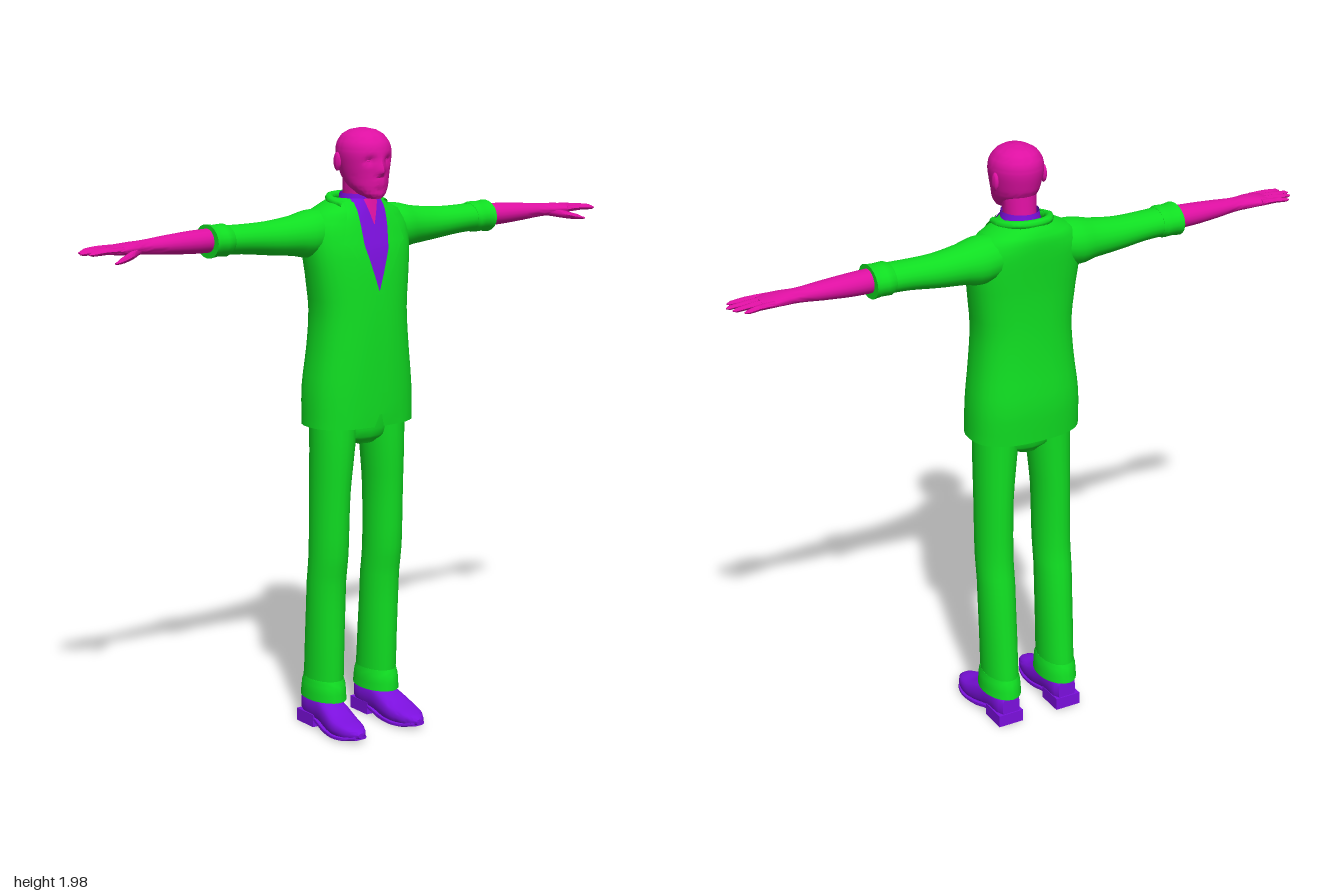
import * as THREE from 'three';
import { toCreasedNormals } from 'three/addons/utils/BufferGeometryUtils.js';

const paint = (name, color) => {
  const m = new THREE.MeshStandardMaterial({ color, side: THREE.DoubleSide });
  m.name = name;
  return m;
};

// Smoothly interpolated cross-section at position a along a loft.
// Section: [a, centreU, centreV, radiusU, radiusV, roundness exponent]
function sectionAt(secs, a) {
  let i = 0;
  while (i < secs.length - 2 && a > secs[i + 1][0]) i++;
  const p1 = secs[i], p2 = secs[i + 1];
  const p0 = secs[Math.max(i - 1, 0)], p3 = secs[Math.min(i + 2, secs.length - 1)];
  const t = THREE.MathUtils.clamp((a - p1[0]) / (p2[0] - p1[0]), 0, 1);
  return [1, 2, 3, 4, 5].map((k) => {
    const [w, x, y, z] = [p0, p1, p2, p3].map((p) => p[k] ?? 1);
    return x + 0.5 * t * (y - w + t * (2 * w - 5 * x + 4 * y - z + t * (3 * (x - y) + z - w)));
  });
}

// Closed loft along an axis; (axis, u, v) run in cyclic order.
function loft(axis, secs, { seg = 20, steps = 3, caps = true, rule } = {}) {
  const A = 'xyz'.indexOf(axis), U = (A + 1) % 3, V = (A + 2) % 3;
  const stations = [secs[0][0]];
  for (let i = 1; i < secs.length; i++) {
    for (let s = 1; s <= steps; s++) {
      stations.push(THREE.MathUtils.lerp(secs[i - 1][0], secs[i][0], s / steps));
    }
  }
  const pos = [], idx = [];
  const power = (v, e) => Math.sign(v) * Math.abs(v) ** e;
  stations.forEach((a, row) => {
    const [cu, cv, ru, rv, e] = sectionAt(secs, a);
    for (let k = 0; k < seg; k++) {
      const t = (k / seg) * Math.PI * 2, p = [0, 0, 0];
      p[A] = a;
      p[U] = cu + ru * power(Math.cos(t), e);
      p[V] = cv + rv * power(Math.sin(t), e);
      if (rule) rule(p, row, k);
      pos.push(...p);
      if (row) {
        const n = (k + 1) % seg, lo = (row - 1) * seg, hi = row * seg;
        idx.push(lo + k, lo + n, hi + n, lo + k, hi + n, hi + k);
      }
    }
  });
  if (caps) {
    for (const end of [0, stations.length - 1]) {
      const [cu, cv] = sectionAt(secs, stations[end]), p = [0, 0, 0], c = pos.length / 3;
      p[A] = stations[end]; p[U] = cu; p[V] = cv;
      pos.push(...p);
      for (let k = 0; k < seg; k++) {
        const i = end * seg + k, j = end * seg + (k + 1) % seg;
        idx.push(...(end ? [c, i, j] : [c, j, i]));
      }
    }
  }
  return indexed(pos, idx);
}

function indexed(pos, idx) {
  const g = new THREE.BufferGeometry();
  g.setAttribute('position', new THREE.Float32BufferAttribute(pos, 3));
  g.setIndex(idx);
  return g;
}

function mirrored(geo) {
  const g = geo.clone().scale(-1, 1, 1);
  g.setIndex(Array.from(geo.index.array).reverse());
  return g;
}

// Jacket body: [y, z, x, rz, rx, exponent]
const body = [
  [1.03, -0.025, 0, 0.125, 0.19, 0.8], [1.15, -0.027, 0, 0.128, 0.187, 0.8],
  [1.28, -0.022, 0, 0.122, 0.172, 0.8], [1.4, -0.021, 0, 0.117, 0.165, 0.8],
  [1.52, -0.025, 0, 0.113, 0.178, 0.8], [1.6, -0.032, 0, 0.11, 0.187, 0.8],
  [1.67, -0.042, 0, 0.104, 0.187, 0.85], [1.715, -0.047, 0, 0.098, 0.16, 0.95],
  [1.74, -0.045, 0, 0.09, 0.11, 1], [1.76, -0.04, 0, 0.08, 0.072, 1]];

function chestZ(x, y) {
  const [cz, , rz, rx, e] = sectionAt(body, y);
  const s = Math.min(Math.abs(x) / rx, 1) ** (1 / e);
  return cz + rz * Math.max(0, 1 - s * s) ** (e / 2);
}

// Thin panel lying on the chest; rows are [y, inner x, outer x] from top to bottom.
function panel(rows, lift) {
  const pos = [], idx = [], n = 6, steps = 5, last = (rows.length - 1) * steps;
  for (let r = 0; r <= last; r++) {
    const i = Math.min(Math.floor(r / steps), rows.length - 2), t = r / steps - i;
    const [y, a, b] = rows[i].map((v, k) => THREE.MathUtils.lerp(v, rows[i + 1][k], t));
    for (let k = 0; k <= n; k++) {
      const x = THREE.MathUtils.lerp(a, b, k / n);
      pos.push(x, y, chestZ(x, y) + lift);
      if (r && k) {
        const d = r * (n + 1) + k, u = d - n - 1;
        idx.push(u - 1, d - 1, d, u - 1, d, u);
      }
    }
  }
  return indexed(pos, idx);
}

export function createModel() {
  const model = new THREE.Group();
  model.name = 'suitedMan';
  const cloth = paint('green cloth', 0x10de22);
  const skin = paint('magenta skin', 0xde10a2);
  const violet = paint('violet shirt and shoes', 0x7c10de);
  const add = (name, geo, mat) => {
    const mesh = new THREE.Mesh(toCreasedNormals(geo, 0.8), mat);
    mesh.name = name;
    model.add(mesh);
  };
  const pair = (name, geo, mat) => {
    add(name + 'Left', geo, mat);
    add(name + 'Right', mirrored(geo), mat);
  };
  const ball = (x, y, z, rx, ry, rz) =>
    new THREE.SphereGeometry(1, 14, 10).scale(rx, ry, rz).translate(x, y, z);

  // Jacket, with a small opening at the front of the hem
  add('jacketBody', loft('y', body, {
    seg: 32, caps: false,
    rule: (p, row, k) => {
      if (row === 0 && k === 0) p[1] += 0.09;
      if (row === 0 && (k === 1 || k === 31)) p[0] = Math.sign(p[0]) * 0.018;
    },
  }), cloth);
  add('jacketFrontEdge', panel([[1.47, -0.012, 0.03], [1.3, -0.02, 0.03], [1.14, -0.004, 0.03]], 0.004), cloth);
  pair('lapel', panel([[1.75, 0.055, 0.078], [1.625, 0.048, 0.118], [1.612, 0.046, 0.098], [1.46, 0, 0.012]], 0.011), cloth);
  add('jacketCollar', new THREE.TubeGeometry(new THREE.CatmullRomCurve3([
    [0.078, 1.738, 0.015], [0.083, 1.75, -0.05], [0.05, 1.757, -0.1], [0, 1.758, -0.113],
    [-0.05, 1.757, -0.1], [-0.083, 1.75, -0.05], [-0.078, 1.738, 0.015],
  ].map((p) => new THREE.Vector3(...p))), 30, 0.014, 8), cloth);
  pair('sleeve', loft('x', [
    [0.09, 1.66, -0.055, 0.068, 0.07], [0.17, 1.65, -0.053, 0.076, 0.08],
    [0.23, 1.648, -0.054, 0.064, 0.068], [0.32, 1.647, -0.057, 0.054, 0.058],
    [0.42, 1.652, -0.055, 0.047, 0.056], [0.51, 1.655, -0.055, 0.046, 0.058]]), cloth);
  pair('rolledCuff', loft('x', [
    [0.475, 1.655, -0.055, 0.046, 0.058], [0.487, 1.655, -0.055, 0.051, 0.064],
    [0.52, 1.655, -0.055, 0.049, 0.064], [0.545, 1.655, -0.055, 0.053, 0.067]], { steps: 2 }), cloth);

  // Shirt and open neck
  pair('shirtFront', panel([[1.76, 0, 0.056], [1.7, 0, 0.058], [1.6, 0, 0.046], [1.47, 0, 0.002]], 0.006), violet);
  add('shirtCollar', loft('y', [
    [1.71, -0.018, 0, 0.068, 0.072], [1.775, -0.016, 0, 0.062, 0.06]], { caps: false }), violet);
  pair('openNeck', panel([[1.76, 0, 0.026], [1.68, 0, 0.001]], 0.012), skin);

  // Trousers
  add('trouserSeat', loft('y', [
    [0.965, -0.025, 0, 0.06, 0.05], [0.99, -0.025, 0, 0.078, 0.12],
    [1.06, -0.025, 0, 0.085, 0.165], [1.2, -0.025, 0, 0.09, 0.155]]), cloth);
  pair('trouserLeg', loft('y', [
    [0.12, -0.068, 0.107, 0.084, 0.057], [0.2, -0.064, 0.107, 0.083, 0.057],
    [0.5, -0.047, 0.108, 0.074, 0.06], [0.6, -0.034, 0.108, 0.076, 0.06],
    [0.8, -0.029, 0.106, 0.08, 0.061], [0.95, -0.025, 0.099, 0.084, 0.069],
    [1.08, -0.025, 0.092, 0.085, 0.078]]), cloth);
  pair('trouserCuff', loft('y', [
    [0.1, -0.067, 0.107, 0.098, 0.063], [0.15, -0.065, 0.107, 0.092, 0.061],
    [0.17, -0.065, 0.107, 0.084, 0.057]], { steps: 2 }), cloth);

  // Shoes: [z, x, y, rx, ry, exponent]
  pair('shoe', loft('z', [
    [-0.15, 0.108, 0.065, 0.032, 0.04, 0.7], [-0.125, 0.108, 0.068, 0.044, 0.048, 0.7],
    [-0.04, 0.11, 0.065, 0.046, 0.048, 0.7], [0.02, 0.114, 0.047, 0.052, 0.042, 0.7],
    [0.07, 0.118, 0.034, 0.053, 0.032, 0.7], [0.12, 0.119, 0.03, 0.043, 0.024, 0.7],
    [0.152, 0.118, 0.028, 0.026, 0.016, 0.7], [0.165, 0.118, 0.027, 0.012, 0.008, 0.7]]), violet);
  pair('shoeSole', loft('z', [
    [-0.06, 0.11, 0.026, 0.044, 0.008, 0.5], [0.0, 0.114, 0.012, 0.05, 0.01, 0.5],
    [0.07, 0.118, 0.008, 0.056, 0.008, 0.5], [0.12, 0.119, 0.011, 0.046, 0.008, 0.5],
    [0.158, 0.118, 0.018, 0.024, 0.007, 0.5]]), violet);
  pair('shoeHeel', new THREE.BoxGeometry(0.09, 0.042, 0.095).translate(0.11, 0.021, -0.107), violet);

  // Head, with sockets, nose, lips and chin shaped by a rule
  const bump = (v, c, w) => Math.exp(-(((v - c) / w) ** 2));
  add('head', loft('y', [
    [1.763, 0.07, 0, 0.025, 0.022], [1.775, 0.055, 0, 0.046, 0.042], [1.8, 0.035, 0, 0.066, 0.062],
    [1.83, 0.019, 0, 0.083, 0.072], [1.865, 0.014, 0, 0.09, 0.08], [1.905, 0.011, 0, 0.094, 0.086],
    [1.935, 0.009, 0, 0.088, 0.081], [1.96, 0.007, 0, 0.07, 0.064],
    [1.974, 0.007, 0, 0.046, 0.04], [1.981, 0.007, 0, 0.012, 0.01]], {
    seg: 48, steps: 4,
    rule: (p) => {
      const [x, y, z] = p;
      if (z < 0.04) return;
      p[2] -= 0.012 * bump(Math.abs(x), 0.034, 0.014) * bump(y, 1.884, 0.011);
      const w = y > 1.848 ? 0.03 : 0.011;
      p[2] += 0.02 * bump(x, 0, 0.012) * bump(y, 1.848, w);
      p[2] += 0.006 * bump(x, 0, 0.022) * (bump(y, 1.82, 0.006) + bump(y, 1.806, 0.006));
    },
  }), skin);
  add('neck', loft('y', [
    [1.69, -0.02, 0, 0.055, 0.056], [1.76, -0.014, 0, 0.055, 0.052],
    [1.82, -0.005, 0, 0.058, 0.056], [1.86, 0, 0, 0.06, 0.06]]), skin);
  pair('ear', ball(0.085, 1.877, -0.012, 0.009, 0.03, 0.017), skin);
  pair('eye', ball(0.033, 1.884, 0.078, 0.011, 0.006, 0.011), skin);

  // Forearms and hands
  pair('forearm', loft('x', [
    [0.5, 1.658, -0.055, 0.038, 0.042], [0.6, 1.657, -0.055, 0.036, 0.042],
    [0.7, 1.657, -0.053, 0.029, 0.036], [0.78, 1.657, -0.05, 0.022, 0.029],
    [0.83, 1.657, -0.046, 0.02, 0.04], [0.875, 1.657, -0.046, 0.016, 0.046],
    [0.9, 1.656, -0.048, 0.011, 0.042]]), skin);
  // Finger: [root z, tip z, tip x]
  [[-0.083, -0.094, 0.965], [-0.06, -0.065, 0.99], [-0.036, -0.038, 1], [-0.012, -0.008, 0.985]]
    .forEach(([z0, z1, tip], i) => {
      const mid = (0.87 + tip) / 2;
      pair('finger' + (i + 1), loft('x', [
        [0.865, 1.658, z0, 0.011, 0.011], [mid, 1.659, (z0 + z1) / 2, 0.009, 0.01],
        [tip - 0.012, 1.656, z1, 0.007, 0.008], [tip, 1.655, z1, 0.002, 0.003]], { seg: 8, steps: 2 }), skin);
    });
  pair('thumb', loft('x', [
    [0.795, 1.652, -0.035, 0.014, 0.014], [0.845, 1.642, -0.003, 0.013, 0.016],
    [0.89, 1.632, 0.017, 0.009, 0.011], [0.915, 1.627, 0.025, 0.003, 0.004]], { seg: 8 }), skin);

  return model;
}
